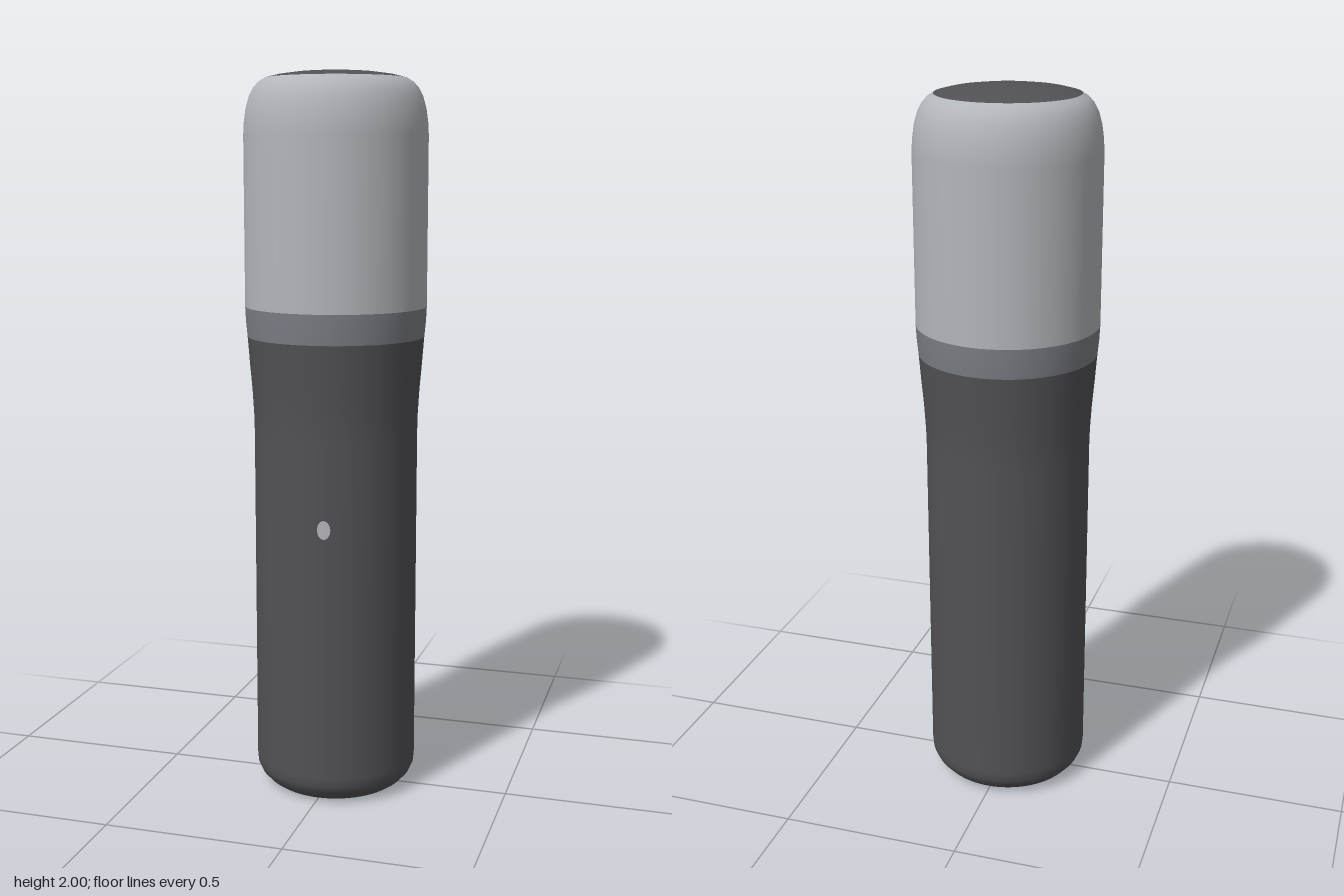
import * as THREE from 'three';

export function createModel() {
  const model = new THREE.Group();
  const mat = (name, color) => {
    const m = new THREE.MeshStandardMaterial({ color });
    m.name = name;
    return m;
  };
  const charcoal = mat('charcoal', 0x525155);
  const silver = mat('silver', 0xb2b5ba);
  const steel = mat('steel', 0x7b7e85);

  // Each turned part is a profile of [radius, height] from bottom to top
  const turned = (name, material, profile) => {
    const points = profile.map(([r, y]) => new THREE.Vector2(r, y));
    const mesh = new THREE.Mesh(new THREE.LatheGeometry(points, 64), material);
    mesh.name = name;
    model.add(mesh);
  };

  // Handle with rounded foot and a gentle flare towards the head
  turned('handle', charcoal, [
    [0, 0], [0.16, 0], [0.182, 0.004], [0.198, 0.015], [0.216, 0.035], [0.225, 0.055],
    [0.227, 0.08], [0.227, 1.02], [0.228, 1.07], [0.232, 1.14], [0.238, 1.21], [0.244, 1.288],
  ]);
  turned('collar', steel, [[0.244, 1.288], [0.248, 1.33], [0.25, 1.37]]);
  // Head sleeve with rounded shoulder
  turned('head', silver, [
    [0.25, 1.37], [0.25, 1.83], [0.248, 1.865], [0.243, 1.9], [0.234, 1.932],
    [0.222, 1.955], [0.208, 1.97], [0.192, 1.98],
  ]);
  // Shallow domed top
  turned('topCap', charcoal, [
    [0.192, 1.98], [0.16, 1.988], [0.11, 1.995], [0.055, 1.999], [0, 2],
  ]);

  // Small oval indicator wrapped onto the front of the handle
  const oval = new THREE.CircleGeometry(1, 24);
  oval.scale(0.018, 0.026, 1);
  oval.translate(0.032, 0.79, 0);
  const pos = oval.attributes.position;
  for (let i = 0; i < pos.count; i++) {
    pos.setZ(i, Math.sqrt(0.229 ** 2 - pos.getX(i) ** 2));
  }
  oval.computeVertexNormals();
  const indicator = new THREE.Mesh(oval, silver);
  indicator.name = 'indicator';
  model.add(indicator);

  return model;
}
